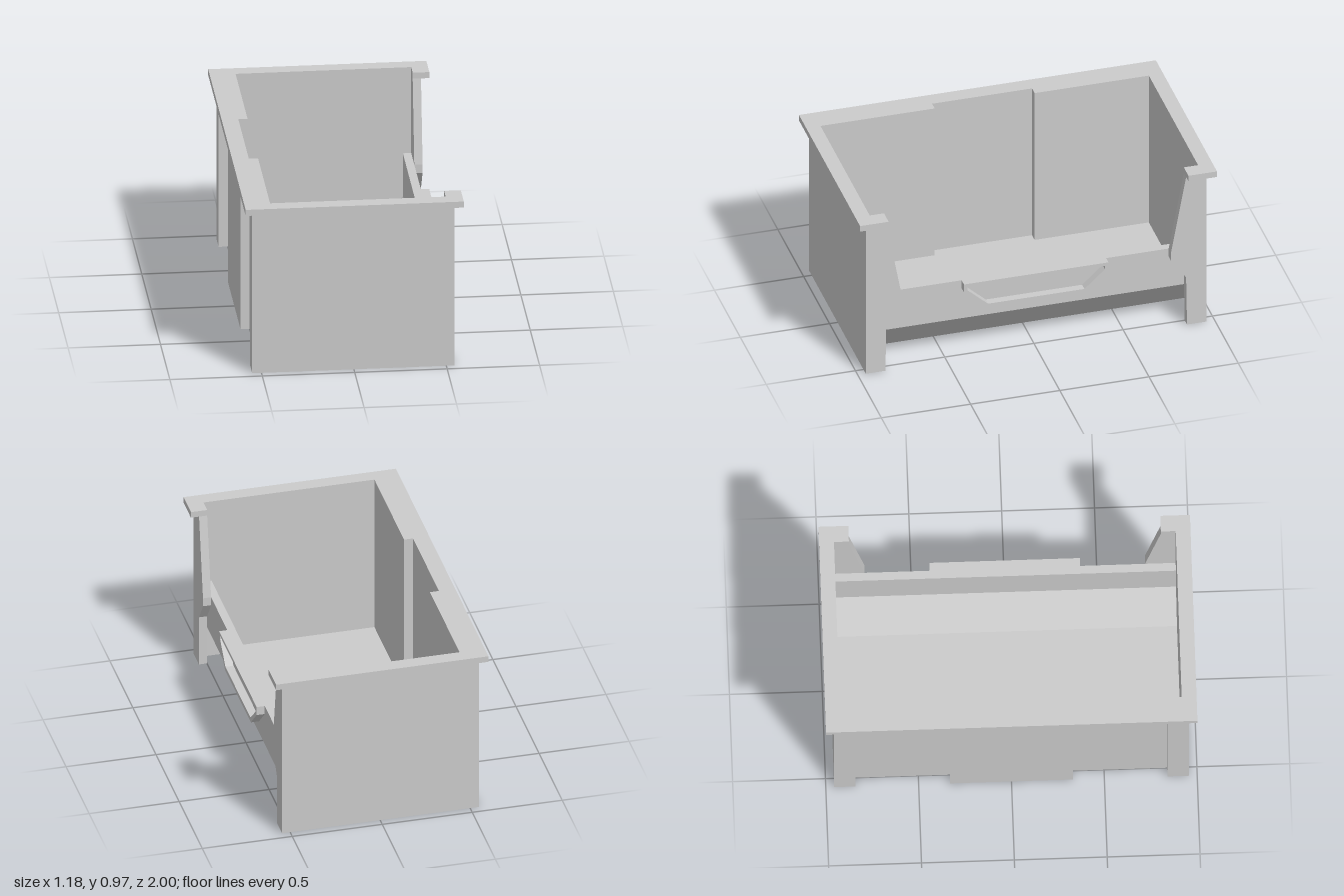
import * as THREE from 'three';

const H = 0.97, RIM = 0.935;

const toShape = (pts) => new THREE.Shape(pts.map(([a, b]) => new THREE.Vector2(a, b)));

// Completes an outline that is symmetric about z = 0 from its +z half
const mirrored = (half) => [...half, ...half.map(([a, b]) => [a, -b]).reverse()];

export function createModel() {
  const bin = new THREE.Group();
  bin.name = 'storageBin';
  const material = new THREE.MeshStandardMaterial({ color: 0xcccccc, flatShading: true });

  const add = (name, geometry) => {
    const mesh = new THREE.Mesh(geometry, material);
    mesh.name = name;
    bin.add(mesh);
  };
  const extrude = (shape, depth) => new THREE.ExtrudeGeometry(shape, { depth, bevelEnabled: false });
  // Plan outline (x, z) raised from y0 to y1
  const plan = (pts, y0, y1) =>
    extrude(toShape(pts), y1 - y0).rotateX(-Math.PI / 2).translate(0, y0, 0);
  // Front outline (z, y) pushed out along +x from x0
  const facing = (shape, x0, depth) =>
    extrude(shape, depth).rotateY(Math.PI / 2).translate(x0, 0, 0);

  // Inside of the tray, with the shallow bay in the back wall
  const cavity = [[-0.45, 0.92], [-0.45, 0.28], [-0.5, 0.28]];

  // Side walls and stepped back wall with corner posts
  const outer = [[-0.5, 0.33], [-0.5, 0.84], [-0.55, 0.84], [-0.55, 0.955], [0.5, 0.955], [0.5, 0.92]];
  add('walls', plan(mirrored([[-0.55, 0.33], ...outer, ...cavity]), 0, RIM));

  // Top rim, with short returns at the open side
  add('rim', plan(mirrored([[-0.59, 1], [0.59, 1], [0.59, 0.84], [0.5, 0.84], [0.5, 0.92], ...cavity]), RIM, H));

  // Floor
  add('floor', plan(mirrored([[0.28, 0.92], ...cavity]), 0, 0.04));

  // Low front panel with its sloping foot
  const profile = [[0.28, 0], [0.5, 0.23], [0.5, 0.47], [0.455, 0.47], [0.455, 0.22], [0.295, 0.04], [0.28, 0.04]];
  add('frontPanel', extrude(toShape(profile), 1.84).translate(0, 0, -0.92));

  // Shaped flanges at the ends of the side walls
  for (const s of [-1, 1]) {
    const flange = [[0.955, 0], [0.955, RIM], [0.84, RIM], [0.755, 0.47], [0.755, 0.42], [0.84, 0.3], [0.845, 0]];
    add(s > 0 ? 'rightFlange' : 'leftFlange', facing(toShape(flange.map(([z, y]) => [z * s, y])), 0.5, 0.045));
  }

  // Label holder: raised tapered frame around a shallow pocket
  const frame = (hole) => {
    const shape = toShape([[0.405, 0.47], [-0.405, 0.47], [-0.405, 0.42], [-0.28, 0.3], [0.28, 0.3], [0.405, 0.42]]);
    shape.holes.push(toShape(hole));
    return shape;
  };
  const pocket = [[0.385, 0.452], [0.385, 0.43], [0.27, 0.325], [-0.27, 0.325], [-0.385, 0.43], [-0.385, 0.452]];
  add('labelFrame', facing(frame(pocket), 0.5, 0.045));

  return bin;
}
